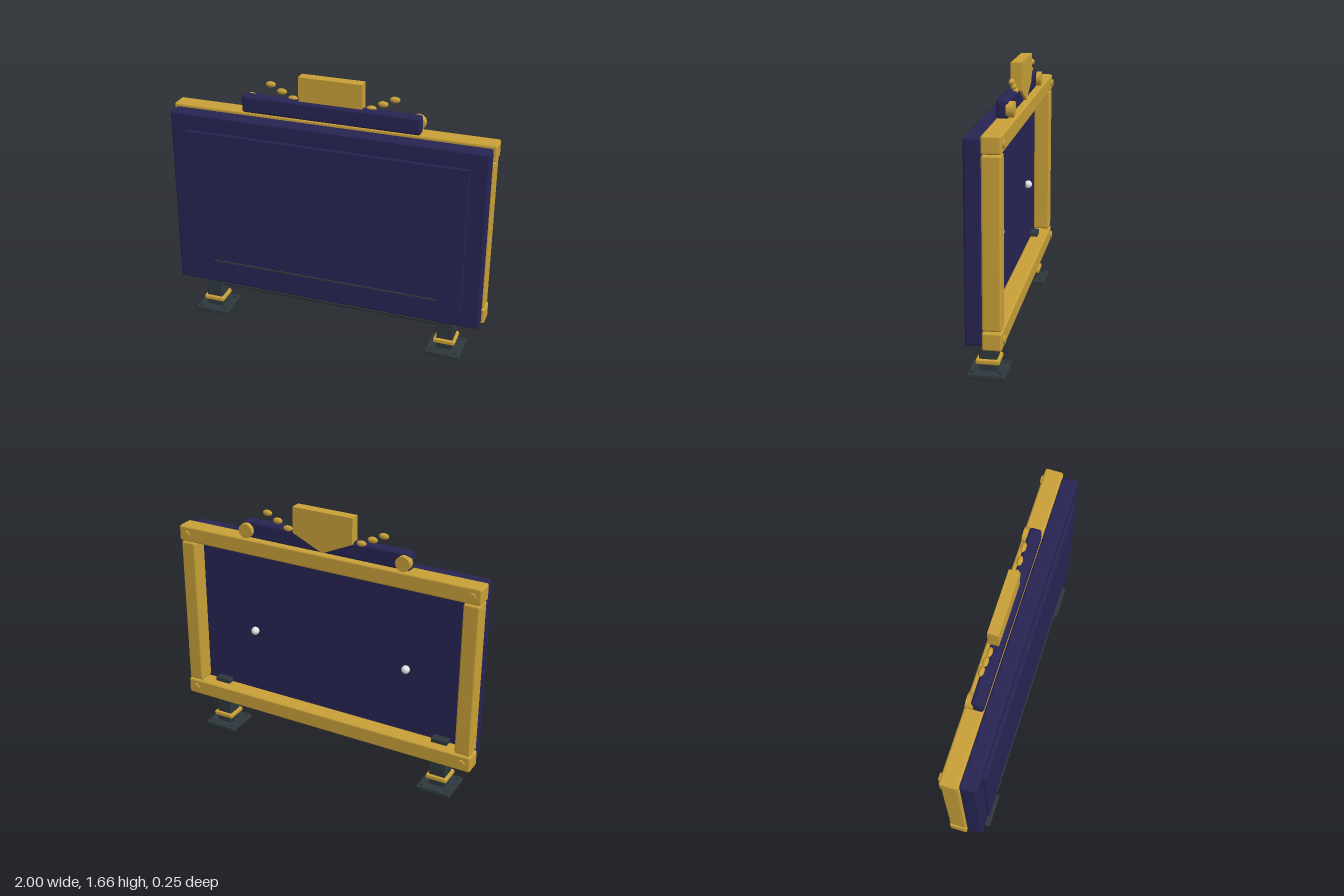
import * as THREE from 'three';
import { RoundedBoxGeometry } from 'three/addons/geometries/RoundedBoxGeometry.js';

const material = (name, color) => {
  const m = new THREE.MeshStandardMaterial({ color });
  m.name = name;
  return m;
};

export function createModel() {
  const gold = material('gold', 0xc8a038);
  const navy = material('navy', 0x272453);
  const iron = material('darkIron', 0x2e383d);
  const white = material('white', 0xeeeeee);
  const model = new THREE.Group();
  model.name = 'noticeBoard';

  const add = (name, geometry, mat, x = 0, y = 0, z = 0, parent = model) => {
    const mesh = new THREE.Mesh(geometry, mat);
    mesh.name = name;
    mesh.position.set(x, y, z);
    parent.add(mesh);
    return mesh;
  };
  // Softened box given by its limits on each axis
  const box = (name, mat, [x0, x1], [y0, y1], [z0, z1], r = 0.01, parent = model) =>
    add(name, new RoundedBoxGeometry(x1 - x0, y1 - y0, z1 - z0, 2, r), mat,
      (x0 + x1) / 2, (y0 + y1) / 2, (z0 + z1) / 2, parent);
  // Disc or rod whose axis runs along z
  const disc = (name, mat, r, depth, sides, x, y, z) =>
    add(name, new THREE.CylinderGeometry(r, r, depth, sides).rotateX(Math.PI / 2), mat, x, y, z);

  // Board and raised face
  box('board', navy, [-0.982, 0.982], [0.24, 1.39], [-0.002, 0.097], 0.014);
  box('facePanel', navy, [-0.875, 0.875], [0.345, 1.285], [0.08, 0.117], 0.004);
  box('ledge', iron, [-0.73, 0.73], [0.404, 0.416], [0.11, 0.123], 0.003);
  for (const x of [-0.49, 0, 0.49]) box('ledgeClip', iron, [x - 0.006, x + 0.006], [0.402, 0.419], [0.11, 0.125], 0.002);

  // Frame behind the board
  box('topRail', gold, [-1, 1], [1.305, 1.406], [-0.11, 0], 0.012);
  box('bottomRail', gold, [-1, 1], [0.225, 0.328], [-0.11, 0], 0.012);

  // Header bar and pointed crest
  box('header', navy, [-0.553, 0.553], [1.4, 1.51], [-0.072, 0], 0.018);
  const crest = new THREE.Shape([[-0.196, 1.66], [-0.196, 1.5], [0, 1.41], [0.196, 1.5], [0.196, 1.66]]
    .map(([x, y]) => new THREE.Vector2(x, y)));
  add('crest', new THREE.ExtrudeGeometry(crest, { depth: 0.065, bevelEnabled: false }), gold, 0, 0, -0.087);

  // Crossbar between the legs
  add('crossbar', new THREE.CylinderGeometry(0.018, 0.018, 1.5, 12).rotateZ(Math.PI / 2), iron, 0, 0.183, 0);

  for (const s of [-1, 1]) {
    const span = (a, b) => (s > 0 ? [a, b] : [-b, -a]);
    box('stile', gold, span(0.895, 0.993), [0.333, 1.3], [-0.107, 0], 0.012);

    // Corner bolts and back studs
    for (const y of [0.278, 1.355]) disc('cornerBolt', gold, 0.024, 0.03, 12, s * 0.945, y, -0.107);
    add('backStud', new THREE.SphereGeometry(0.026, 12, 8), white, s * 0.525, 0.75, -0.018);

    // Header end knobs and rising beads
    disc('headerKnob', gold, 0.046, 0.045, 12, s * 0.52, 1.453, -0.079);
    for (let i = 0; i < 3; i++) {
      const bead = add('bead', new THREE.SphereGeometry(1, 12, 8), gold,
        s * (0.243 + i * 0.07), 1.508 + i * 0.036, -0.06);
      bead.scale.set(0.032, 0.019, 0.017);
    }

    // Leg with collar, foot and foot bolts
    const leg = new THREE.Group();
    leg.name = 'leg';
    leg.position.x = s * 0.772;
    model.add(leg);
    box('post', iron, [-0.052, 0.052], [0.02, 0.355], [-0.052, 0.052], 0.006, leg);
    box('collar', gold, [-0.068, 0.068], [0.07, 0.1], [-0.068, 0.068], 0.009, leg);
    box('foot', iron, [-0.11, 0.11], [0, 0.03], [-0.11, 0.11], 0.008, leg);
    for (const x of [-0.083, 0.083]) for (const z of [-0.083, 0.083])
      add('footBolt', new THREE.CylinderGeometry(0.013, 0.013, 0.014, 8), iron, x, 0.034, z, leg);
  }
  return model;
}
